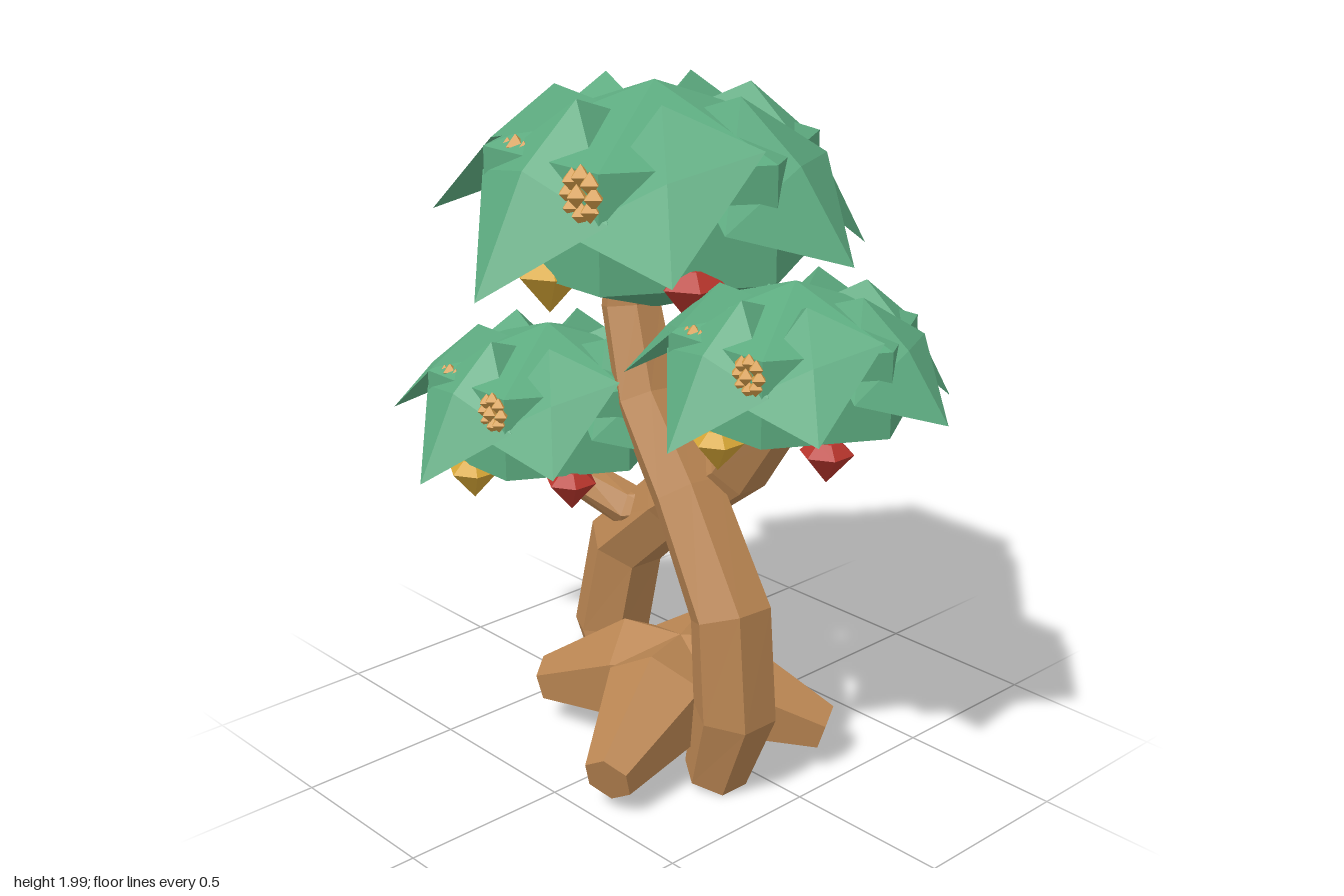
import * as THREE from 'three';

const mat = (name, color, side = THREE.FrontSide) => {
  const m = new THREE.MeshStandardMaterial({ color, side });
  m.name = name;
  return m;
};

// Faceted geometry: every face gets its own flat normal
function flat(geo) {
  const g = geo.index ? geo.toNonIndexed() : geo;
  g.computeVertexNormals();
  return g;
}

function fromFaces(verts, faces) {
  const g = new THREE.BufferGeometry();
  g.setAttribute('position', new THREE.Float32BufferAttribute(verts.flat(), 3));
  g.setIndex(faces.flat());
  return flat(g);
}

// Closed limb swept through [x, y, z, radius] stations
function limb(stations, sides, ref) {
  const pts = stations.map(s => new THREE.Vector3(s[0], s[1], s[2]));
  const verts = [], faces = [], last = pts.length - 1;
  pts.forEach((p, i) => {
    const t = pts[Math.min(i + 1, last)].clone().sub(pts[Math.max(i - 1, 0)]).normalize();
    const n = ref.clone().addScaledVector(t, -ref.dot(t)).normalize();
    const b = t.clone().cross(n);
    for (let j = 0; j < sides; j++) {
      const a = (j / sides) * Math.PI * 2, r = stations[i][3];
      verts.push(p.clone().addScaledVector(n, Math.cos(a) * r).addScaledVector(b, Math.sin(a) * r).toArray());
      if (i < last) {
        const k = (j + 1) % sides, o = i * sides, q = o + sides;
        faces.push([o + j, o + k, q + k], [o + j, q + k, q + j]);
      }
    }
  });
  for (let j = 1; j < sides - 1; j++) {
    faces.push([0, j + 1, j], [last * sides, last * sides + j, last * sides + j + 1]);
  }
  return fromFaces(verts, faces);
}

// One broad drooping leaf pointing along +z; roll lifts its +x side
function leafGeometry(roll, cornerY, tipY) {
  const verts = [
    [0, 0.22, 0.04], [0, 0.305, 0.28], [-0.26, cornerY, 0.4],
    [0.26, cornerY, 0.4], [0, 0.14, 0.47], [0, tipY, 0.64],
  ].map(([x, y, z]) => [x, y + roll * x, z]);
  return fromFaces(verts, [
    [0, 2, 1], [0, 1, 3], [1, 2, 4], [1, 4, 3], [2, 5, 4], [4, 5, 3],
  ]);
}

export function createModel() {
  const root = new THREE.Group();
  root.name = 'tree';
  const bark = mat('bark brown', 0xb98552);
  const green = mat('leaf green', 0x5dab80, THREE.DoubleSide);
  const gold = mat('fruit gold', 0xd6a636);
  const red = mat('fruit red', 0xb8352c);
  const amber = mat('blossom amber', 0xd69d4a);

  const add = (parent, name, geo, material, pos = [0, 0, 0]) => {
    const m = new THREE.Mesh(geo, material);
    m.name = name;
    m.position.set(...pos);
    parent.add(m);
    return m;
  };

  // Two crossing trunks and a side branch
  const Z = new THREE.Vector3(0, 0, 1), Y = new THREE.Vector3(0, 1, 0);
  add(root, 'frontTrunk', limb([
    [0.265, 0.04, 0.11, 0.095], [0.34, 0.27, 0.11, 0.122], [0.32, 0.57, 0.11, 0.12],
    [0.11, 0.87, 0.08, 0.108], [-0.08, 1.1, 0.06, 0.098], [-0.18, 1.35, 0.03, 0.09], [-0.17, 1.5, 0.02, 0.085],
  ], 6, Z), bark);
  add(root, 'backTrunk', limb([
    [-0.23, 0.05, 0, 0.085], [-0.325, 0.28, -0.01, 0.12], [-0.265, 0.57, -0.02, 0.118],
    [-0.06, 0.76, -0.03, 0.108], [0.2, 0.95, -0.03, 0.1], [0.35, 1.15, -0.02, 0.09], [0.42, 1.28, 0, 0.085],
  ], 6, Z), bark);
  add(root, 'sideBranch', limb([
    [-0.07, 0.73, -0.04, 0.07], [-0.2, 0.71, 0.02, 0.066], [-0.36, 0.78, 0.08, 0.06], [-0.44, 0.87, 0.11, 0.05],
  ], 6, Z), bark);

  // Chunky roots spreading from the middle
  const hub = new THREE.Vector3(0.04, 0.27, 0.04);
  [[-0.38, 0.13, 0.2], [0.2, 0.13, 0.47], [0.41, 0.13, -0.2], [-0.12, 0.14, -0.35]].forEach(tip => {
    const end = new THREE.Vector3(...tip);
    const at = (t, r) => [...hub.clone().lerp(end, t).toArray(), r];
    add(root, 'root', limb([at(-0.1, 0.1), at(0.3, 0.172), at(1, 0.075)], 6, Y), bark);
  });

  // Shared crown parts; leaves run round from the front towards +x
  const bodyGeo = flat(new THREE.SphereGeometry(0.55, 6, 3).scale(1, 0.59, 1));
  const leafGeos = [
    [-0.12, 0.06, -0.185], [0.4, 0.1, -0.09], [0.25, 0.06, -0.11], [-0.12, 0.06, -0.185],
    [-0.12, 0.06, -0.185], [0.05, 0.06, -0.185], [0.4, 0.1, -0.06],
  ].map(args => leafGeometry(...args));
  const fruitGeo = flat(new THREE.LatheGeometry(
    [[0, -0.115], [0.1, 0], [0.05, 0.045], [0, 0.055]].map(p => new THREE.Vector2(...p)), 6));
  const budGeo = flat(new THREE.OctahedronGeometry(0.033));

  function blossom(parent, pos) {
    const b = new THREE.Group();
    b.name = 'blossom';
    b.position.set(...pos);
    add(b, 'bud', budGeo, amber, [0, 0, 0.015]);
    for (let i = 0; i < 8; i++) {
      const a = (i * Math.PI) / 4;
      add(b, 'bud', budGeo, amber, [Math.cos(a) * 0.05, Math.sin(a) * 0.05, 0]);
    }
    parent.add(b);
  }

  function crown(name, pos, scale, fruitY) {
    const c = new THREE.Group();
    c.name = name;
    c.position.set(...pos);
    c.scale.setScalar(scale);
    add(c, 'foliageBody', bodyGeo, green);
    leafGeos.forEach((geo, i) => {
      add(c, 'leaf', geo, green).rotation.y = (i * Math.PI * 2) / 7;
    });
    add(c, 'leftFruit', fruitGeo, gold, [-0.33, fruitY, 0.17]);
    add(c, 'middleFruit', fruitGeo, gold, [-0.02, fruitY, 0.37]);
    add(c, 'rightFruit', fruitGeo, red, [0.33, fruitY, 0.17]);
    blossom(c, [0.185, 0.1, 0.425]);
    blossom(c, [-0.15, 0.12, 0.37]);
    root.add(c);
  }
  crown('topCrown', [-0.11, 1.675, 0], 1, -0.155);
  crown('leftCrown', [0.48, 1.33, 0.045], 0.71, -0.21);
  crown('rightCrown', [-0.455, 1.005, 0.115], 0.755, -0.2);

  return root;
}
